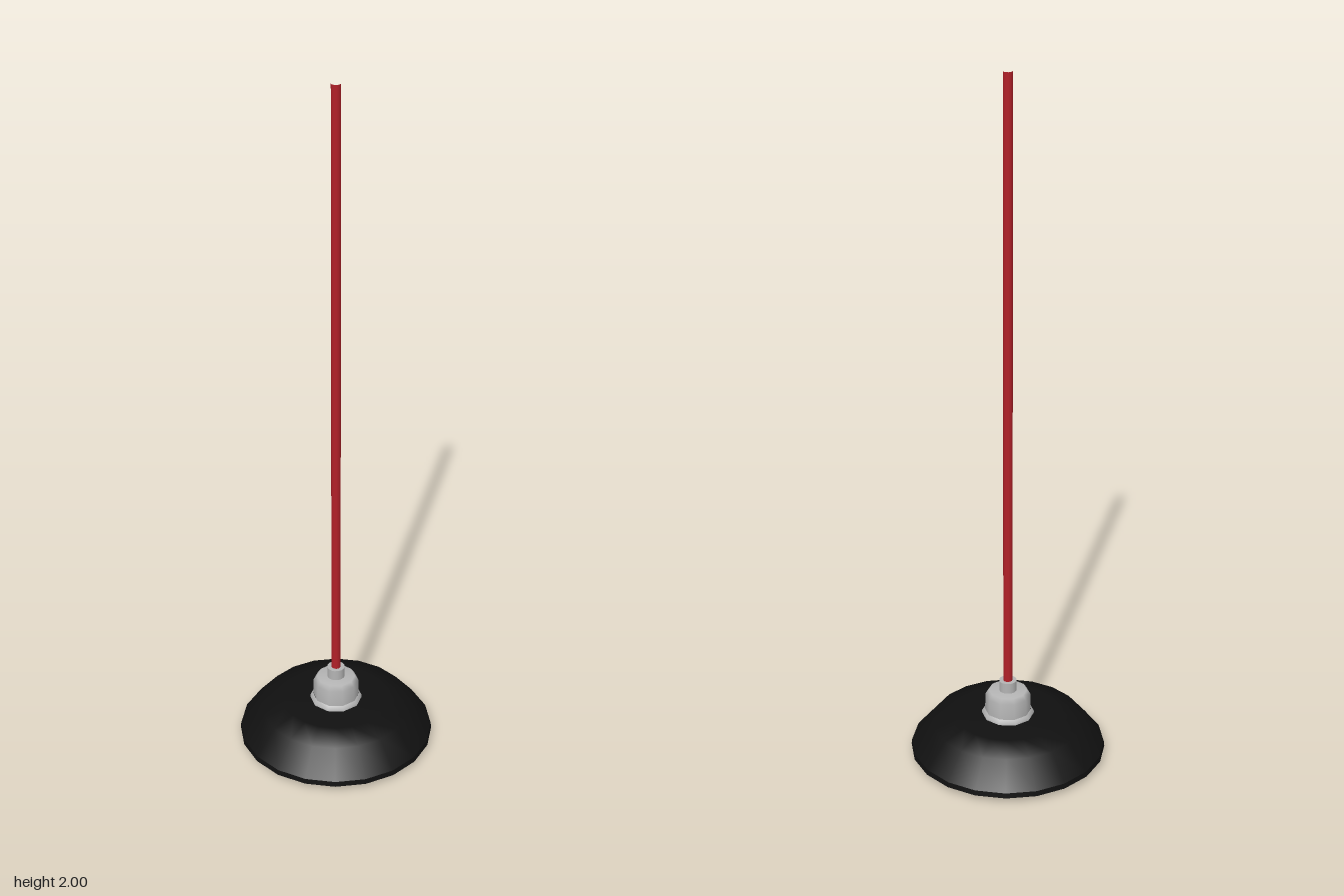
import * as THREE from 'three';

export function createModel() {
  const group = new THREE.Group();
  const material = (name, color, side = THREE.FrontSide) => {
    const m = new THREE.MeshStandardMaterial({ color, side });
    m.name = name;
    return m;
  };
  const black = material('black enamel', 0x101010, THREE.DoubleSide);
  const grey = material('grey metal', 0xb4b4b4);
  const red = material('red cord', 0xb22028);
  const yellow = material('yellow bulb', 0xe6dc14);

  const add = (name, geometry, mat, y = 0) => {
    const mesh = new THREE.Mesh(geometry, mat);
    mesh.name = name;
    mesh.position.y = y;
    group.add(mesh);
  };
  // Revolved profile, listed from bottom to top, with a corner on the x axis
  const lathe = (points, sides) =>
    new THREE.LatheGeometry(points.map(([r, y]) => new THREE.Vector2(r, y)), sides)
      .rotateY(Math.PI / 2);

  // Wide open shade with a short upright rim
  add('shadeRim', lathe([[0.277, 0.015], [0.275, 0.03]], 20), black);
  add('shade', lathe([[0.275, 0.03], [0.215, 0.102], [0.15, 0.122], [0, 0.123]], 20), black);

  // Socket: flange, body with bevelled top, and cord neck
  add('socketFlange', lathe([[0.074, 0.119], [0.074, 0.129], [0.066, 0.136]], 10), grey);
  add('socketBody', lathe([[0.065, 0.134], [0.064, 0.184], [0.054, 0.198], [0, 0.199]], 10), grey);
  add('socketNeck', new THREE.CylinderGeometry(0.025, 0.025, 0.034, 16), grey, 0.213);

  // Long hanging cord, open at the ends
  add('cord', new THREE.CylinderGeometry(0.013, 0.013, 1.77, 12, 1, true), red, 1.115);

  // Round bulb under the shade
  add('bulb', new THREE.SphereGeometry(0.06, 20, 14), yellow, 0.06);

  return group;
}
